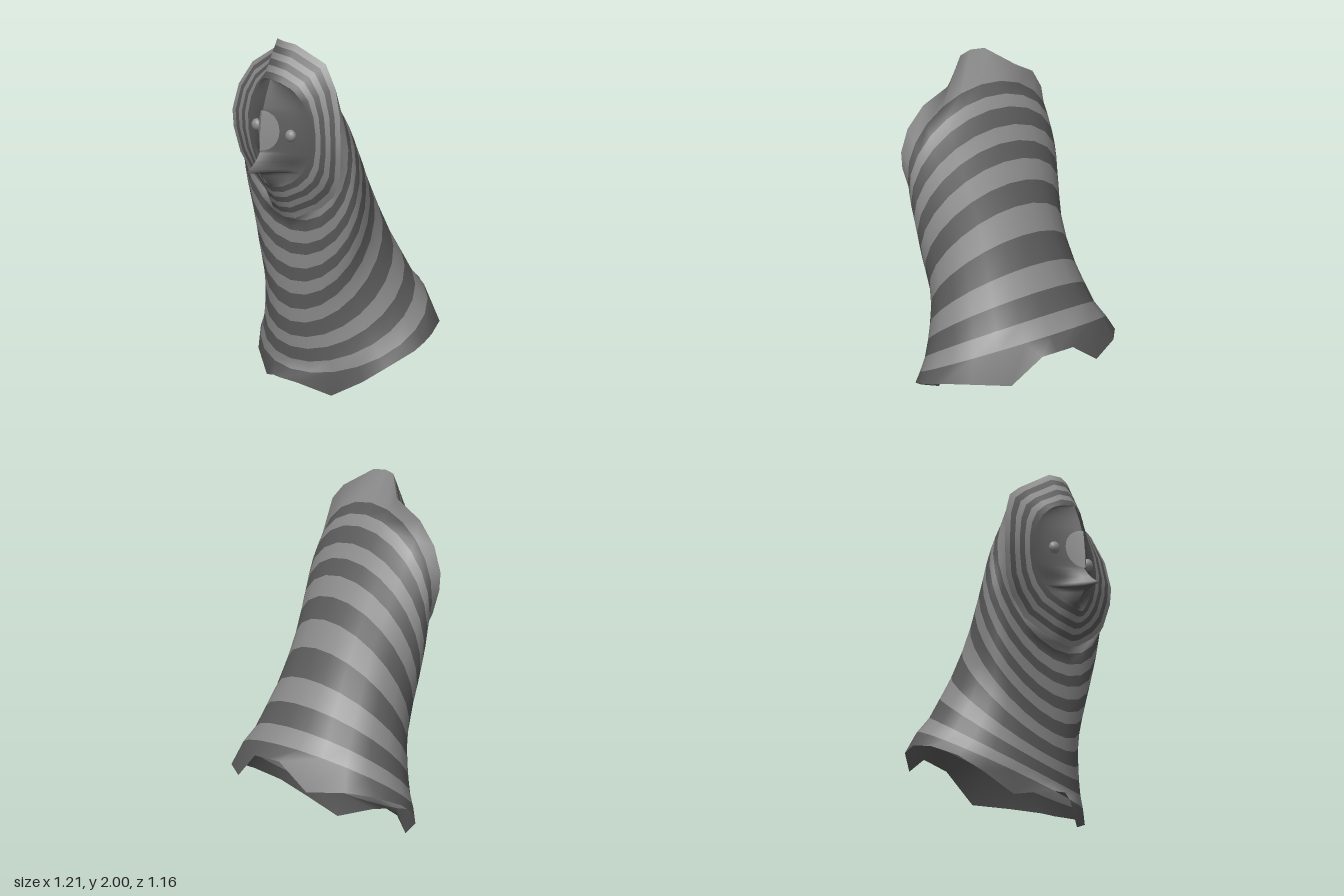
import * as THREE from 'three';

const light = new THREE.MeshStandardMaterial({ color: 0x8c8c8c, side: THREE.DoubleSide });
const dark = new THREE.MeshStandardMaterial({ color: 0x5c5c5c, side: THREE.DoubleSide });

// Half loop (front/bottom centre to back/top centre, on +x) mirrored into a closed loop
const mirrorLoop = (half) => [
  ...half,
  ...half.slice(1, -1).reverse().map(([x, y, z]) => [-x, y, z]),
];

// Skins rows of points; returns one smooth mesh per material, alternating band by band
function skin(name, rows, closed, materials) {
  const n = rows[0].length;
  const base = new THREE.BufferGeometry();
  base.setAttribute('position', new THREE.Float32BufferAttribute(rows.flat(2), 3));
  const sets = materials.map(() => []);
  for (let i = 0; i < rows.length - 1; i++) {
    for (let j = 0; j < (closed ? n : n - 1); j++) {
      const k = (j + 1) % n;
      const a = i * n + j, b = i * n + k, c = b + n, d = a + n;
      sets[i % materials.length].push(a, b, c, a, c, d);
    }
  }
  base.setIndex(sets.flat());
  base.computeVertexNormals();
  const group = new THREE.Group();
  group.name = name;
  materials.forEach((material, m) => {
    const geometry = new THREE.BufferGeometry();
    geometry.setAttribute('position', base.attributes.position);
    geometry.setAttribute('normal', base.attributes.normal);
    geometry.setIndex(sets[m]);
    const mesh = new THREE.Mesh(geometry, material);
    mesh.name = name + (materials.length > 1 ? (material === dark ? 'DarkStripes' : 'LightStripes') : 'Surface');
    group.add(mesh);
  });
  return group;
}

// Ragged hem at the foot and zigzag rim round the head
const hem = [
  [0, 0.07, 0.34], [0.1, 0.055, 0.3], [0.28, 0, 0.2], [0.45, 0.1, 0.12],
  [0.55, 0.19, 0.02], [0.605, 0.27, -0.13], [0.59, 0.3, -0.21], [0.57, 0.33, -0.28],
  [0.47, 0.36, -0.42], [0.28, 0.35, -0.54], [0.1, 0.5, -0.58], [0, 0.5, -0.58],
];
const rim = [
  [0, 0.99, 0.31], [0.09, 1, 0.3], [0.24, 1.08, 0.24], [0.36, 1.17, 0.25],
  [0.43, 1.26, 0.265], [0.465, 1.4, 0.285], [0.47, 1.5, 0.29], [0.44, 1.65, 0.27],
  [0.36, 1.79, 0.235], [0.22, 1.895, 0.19], [0.08, 1.995, 0.29], [0, 2, 0.31],
];
const last = rim.length - 1;

// Body stripe edges: front height, back height, back depth, half width
const stripes = [
  [0.105, 0.57, -0.505, 0.56], [0.165, 0.66, -0.435, 0.51], [0.235, 0.78, -0.37, 0.475],
  [0.30, 0.91, -0.295, 0.445], [0.38, 1.07, -0.22, 0.42], [0.455, 1.22, -0.15, 0.415],
  [0.54, 1.34, -0.09, 0.43], [0.615, 1.45, -0.035, 0.445], [0.69, 1.54, 0.015, 0.455],
  [0.77, 1.62, 0.06, 0.465], [0.835, 1.71, 0.11, 0.47], [0.905, 1.77, 0.155, 0.47],
  [0.97, 1.83, 0.2, 0.465],
];
const stripeLoop = ([frontY, backY, backZ, width]) => mirrorLoop(rim.map((_, j) => {
  const angle = (j / last) * Math.PI;
  const t = (1 - Math.cos(angle)) / 2;
  return [width * Math.sin(angle), frontY + (backY - frontY) * t, 0.26 + (backZ - 0.26) * t];
}));

// Face outline: an oval whose top and bottom reach forward
const faceWidth = (y) => 0.26 * Math.sqrt(Math.max(0, 1 - ((y - 1.49) / 0.31) ** 2));
const edgeZ = (y) => 0.33 + 0.075 * Math.abs((y - 1.49) / 0.31) ** 6;

// Centre ridge of the face, beak included, as [height, depth]
const ridge = [
  [1.18, 0.405], [1.22, 0.44], [1.27, 0.48], [1.285, 0.577], [1.33, 0.525],
  [1.36, 0.5], [1.4, 0.475], [1.5, 0.472], [1.62, 0.462], [1.7, 0.44], [1.8, 0.405],
];
function ridgeZ(y) {
  const i = Math.min(ridge.length - 2, Math.max(0, ridge.findIndex(([h]) => h >= y) - 1));
  const [y0, z0] = ridge[i], [y1, z1] = ridge[i + 1];
  return z0 + (z1 - z0) * (y - y0) / (y1 - y0);
}
function faceZ(x, y) {
  const width = faceWidth(y);
  const u = width > 1e-4 ? Math.min(1, Math.abs(x) / width) : 0;
  const power = 1.4 + Math.exp(-(((y - 1.29) / 0.06) ** 2));
  return edgeZ(y) + (ridgeZ(y) - edgeZ(y)) * (1 - u) ** power;
}

// One half of a face panel; side is +1 or -1
function halfPanel(name, heights, widthAt, lift, side, material) {
  const steps = 8;
  const rows = heights.map((y) => Array.from({ length: steps + 1 }, (_, j) => {
    const u = side > 0 ? j / steps : j / steps - 1;
    const x = u * widthAt(y);
    return [x, y, faceZ(x, y) + lift];
  }));
  return skin(name, rows, false, [material]);
}

export function createModel() {
  const model = new THREE.Group();
  model.name = 'stripedHoodedBird';

  // Striped neck and body, open at the foot
  const bodyRows = [mirrorLoop(hem), ...stripes.map(stripeLoop), mirrorLoop(rim)];
  model.add(skin('body', bodyRows, true, [dark, light]));

  // Concentric head bands from the rim in to the face
  const inner = rim.map((_, j) => {
    const angle = (j / last - 0.5) * Math.PI;
    const y = 1.49 + 0.31 * Math.sin(angle);
    return [0.26 * Math.cos(angle), y, edgeZ(y)];
  });
  const headRows = [];
  for (let i = 0; i <= 6; i++) {
    headRows.push(mirrorLoop(rim.map((p, j) => p.map((v, a) => v + (inner[j][a] - v) * i / 6))));
  }
  model.add(skin('head', headRows, true, [light, dark]));

  // Face with beak, brow patch and eyes, mirrored about the ridge
  const faceHeights = ridge.slice(0, -1).flatMap(([y], i) =>
    [0, 1, 2].map((s) => y + (ridge[i + 1][0] - y) * s / 3));
  faceHeights.push(1.8);
  const patchHeights = Array.from({ length: 13 }, (_, i) => 1.515 - 0.115 * Math.cos(i / 12 * Math.PI));
  const patchWidth = (y) => 0.09 * Math.sqrt(Math.max(0, 1 - ((y - 1.515) / 0.115) ** 2));
  for (const side of [1, -1]) {
    const label = side > 0 ? 'left' : 'right';
    model.add(halfPanel(label + 'Face', faceHeights, faceWidth, 0, side, dark));
    model.add(halfPanel(label + 'BrowPatch', patchHeights, patchWidth, 0.007, side, light));

    const eye = new THREE.Mesh(new THREE.SphereGeometry(0.035, 16, 12), light);
    eye.name = label + 'Eye';
    eye.position.set(side * 0.147, 1.5, 0.38);
    eye.scale.z = 0.8;
    model.add(eye);
  }
  return model;
}
